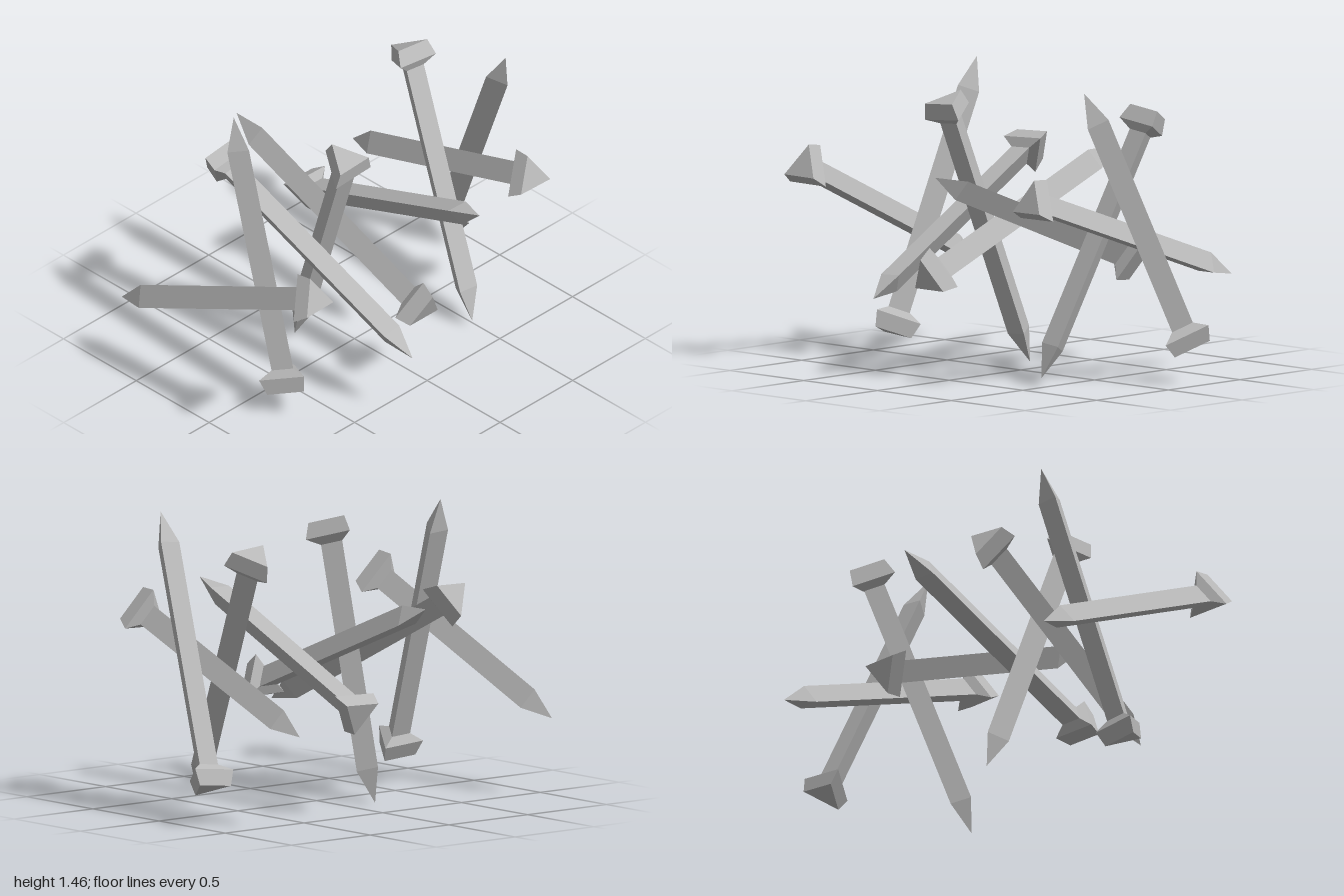
import * as THREE from 'three';

const steel = new THREE.MeshStandardMaterial({ color: 0xb8b8b8, flatShading: true });
steel.name = 'steel grey';

// Three-sided solid from a radius/height profile, one ridge towards local -z
function triangular(profile) {
  const points = profile.map(([r, y]) => new THREE.Vector2(r, y));
  return new THREE.LatheGeometry(points, 3, Math.PI);
}

// Spike measured from its point at y = 0 up to the head
const shaftGeometry = triangular([[0, 0], [0.065, 0.165], [0.065, 1.3]]);
const headGeometry = triangular([[0.065, 1.295], [0.135, 1.33], [0.11, 1.41], [0, 1.41]]);

// Point position, sideways lean, and pitch in the yz plane (degrees from +z towards +y)
const spikes = [
  { tip: [-0.94, 0.40, -0.66], lean: 0.043, pitch: 24.7 },
  { tip: [-0.56, 1.47, -0.27], lean: -0.079, pitch: -69.6 },
  { tip: [-0.31, 0.40, 0.71], lean: -0.08, pitch: 152.7 },
  { tip: [-0.17, 0.01, -0.24], lean: -0.08, pitch: 70.4 },
  { tip: [-0.08, 1.03, -0.73], lean: 0, pitch: -22 },
  { tip: [0.13, 1.04, 0.73], lean: 0.057, pitch: 201.6 },
  { tip: [0.47, 0.05, 0.34], lean: 0.107, pitch: 115.7 },
  { tip: [0.73, 1.47, 0.31], lean: 0.118, pitch: 246.3 },
  { tip: [0.72, 0.48, -0.73], lean: -0.062, pitch: 19.7 },
];

function makeSpike({ tip, lean, pitch }, index) {
  const spike = new THREE.Group();
  spike.name = `spike${index + 1}`;
  const shaft = new THREE.Mesh(shaftGeometry, steel);
  shaft.name = 'shaft';
  const head = new THREE.Mesh(headGeometry, steel);
  head.name = 'head';
  spike.add(shaft, head);

  // Aim the head along the axis, keeping the flat side's edge closest to x
  const angle = THREE.MathUtils.degToRad(pitch);
  const k = Math.sqrt(1 - lean * lean);
  const axis = new THREE.Vector3(lean, Math.sin(angle) * k, Math.cos(angle) * k);
  const edge = new THREE.Vector3(1, 0, 0).addScaledVector(axis, -lean).normalize();
  const back = new THREE.Vector3().crossVectors(edge, axis);
  spike.quaternion.setFromRotationMatrix(new THREE.Matrix4().makeBasis(edge, axis, back));
  spike.position.set(...tip);
  return spike;
}

export function createModel() {
  const model = new THREE.Group();
  model.name = 'scatteredSpikes';
  spikes.forEach((s, i) => model.add(makeSpike(s, i)));
  return model;
}
